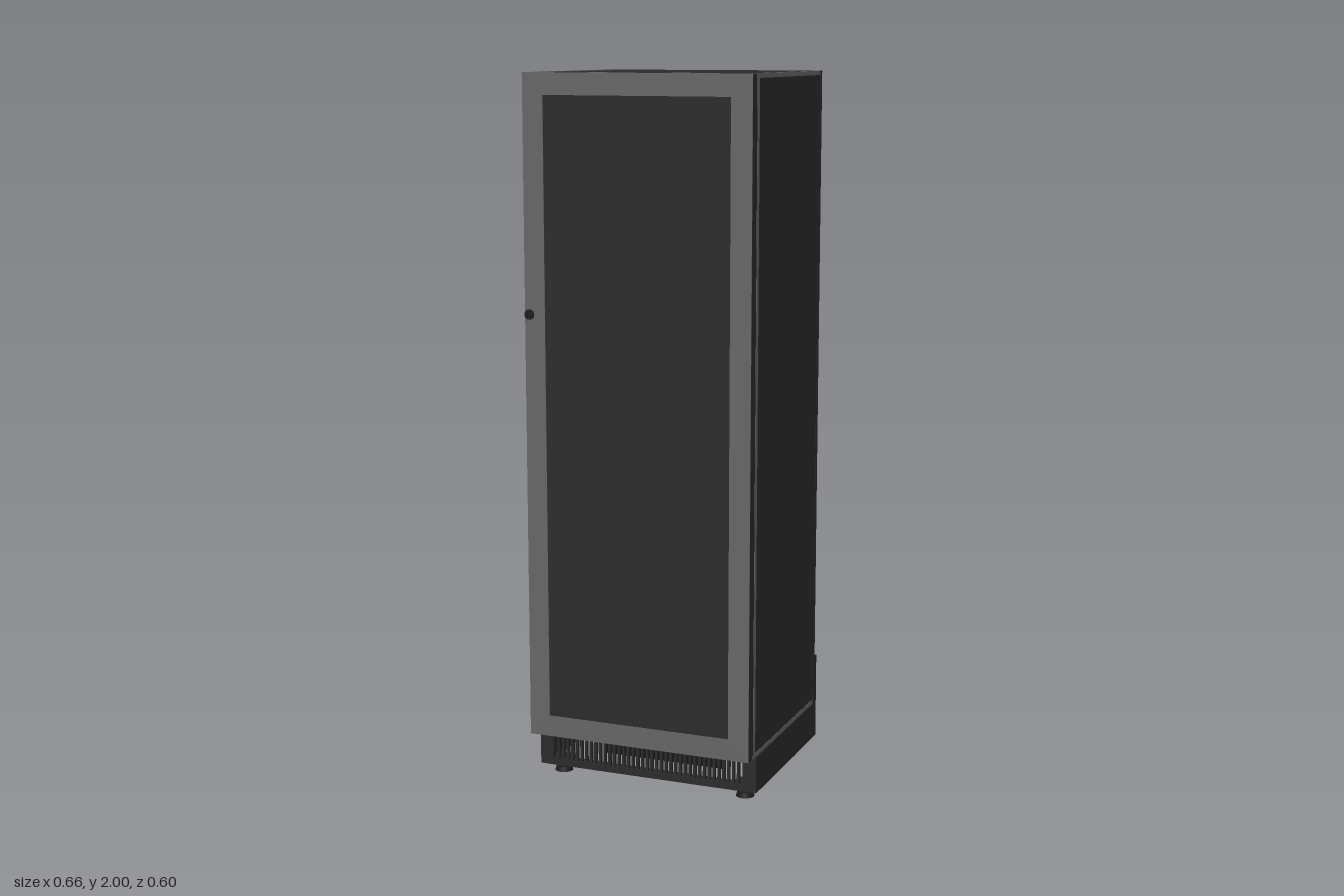
import * as THREE from 'three';

const mat = (color) => new THREE.MeshStandardMaterial({ color, roughness: 0.8, side: THREE.DoubleSide });

export function createModel() {
  const model = new THREE.Group();
  const dark = mat(0x2b2b2b);
  const black = mat(0x1c1c1c);
  const grey = mat(0x666666);

  const add = (name, geometry, material, parent = model) => {
    const mesh = new THREE.Mesh(geometry, material);
    mesh.name = name;
    parent.add(mesh);
    return mesh;
  };
  // Box given by its two extremes on each axis
  const box = (name, [x0, x1], [y0, y1], [z0, z1], material, parent) => {
    const mesh = add(name, new THREE.BoxGeometry(x1 - x0, y1 - y0, z1 - z0), material, parent);
    mesh.position.set((x0 + x1) / 2, (y0 + y1) / 2, (z0 + z1) / 2);
    return mesh;
  };
  const group = (name) => {
    const g = new THREE.Group();
    g.name = name;
    model.add(g);
    return g;
  };

  // Cabinet core: side profile with the machine niche cut out at the lower back
  const profile = new THREE.Shape([
    [0.24, 0.14], [0.24, 1.998], [-0.265, 1.998], [-0.265, 0.28], [-0.06, 0.28], [0.08, 0.14],
  ].map(([z, y]) => new THREE.Vector2(-z, y)));
  const core = add('cabinet', new THREE.ExtrudeGeometry(profile, { depth: 0.63, bevelEnabled: false }), dark);
  core.rotation.y = Math.PI / 2;
  core.position.x = -0.315;

  // Side panels, each with light edging at top, bottom and front
  for (const s of [-1, 1]) {
    const span = (a, b) => (s > 0 ? [a, b] : [-b, -a]);
    const side = group(s > 0 ? 'leftSide' : 'rightSide');
    box('sidePanel', span(0.314, 0.329), [0.15, 1.99], [-0.265, 0.24], dark, side);
    box('topEdging', span(0.315, 0.33), [1.988, 2], [-0.265, 0.24], grey, side);
    box('bottomEdging', span(0.315, 0.33), [0.138, 0.15], [-0.265, 0.24], grey, side);
  }
  const edging = group('frontEdging');
  box('topStrip', [-0.33, 0.33], [1.985, 2], [0.24, 0.257], grey, edging);
  box('bottomStrip', [-0.33, 0.33], [0.138, 0.153], [0.24, 0.257], grey, edging);
  for (const x of [-0.33, 0.315]) box('sideStrip', [x, x + 0.015], [0.153, 1.985], [0.24, 0.257], grey, edging);
  box('innerFace', [-0.315, 0.315], [0.15, 1.985], [0.24, 0.25], dark, edging);

  // Back panel and its corner posts beside the niche
  box('backPanel', [-0.33, 0.33], [0.28, 2], [-0.28, -0.265], dark);
  for (const x of [-0.33, 0.315]) box('nichePost', [x, x + 0.015], [0.13, 0.28], [-0.28, -0.265], dark);
  box('backBracket', [0.31, 0.33], [0.13, 0.28], [-0.297, -0.28], dark);

  // Door: dark body, light front frame, dark pane set slightly back
  const door = group('door');
  const rect = (w, y0, y1) => [[-w, y0], [w, y0], [w, y1], [-w, y1]].map(([x, y]) => new THREE.Vector2(x, y));
  const ring = (depth) => {
    const shape = new THREE.Shape(rect(0.33, 0.14, 2));
    shape.holes.push(new THREE.Path(rect(0.27, 0.2, 1.94).reverse()));
    return new THREE.ExtrudeGeometry(shape, { depth, bevelEnabled: false });
  };
  add('doorBody', ring(0.034), dark, door).position.z = 0.259;
  add('doorFrame', ring(0.002), grey, door).position.z = 0.293;
  box('doorPane', [-0.27, 0.27], [0.2, 1.94], [0.262, 0.293], dark, door);
  const lock = add('doorLock', new THREE.CylinderGeometry(0.014, 0.014, 0.012, 24), black, door);
  lock.rotation.x = Math.PI / 2;
  lock.position.set(-0.316, 1.345, 0.294);

  // Plinth: open at the bottom, low rail at the back
  const base = group('plinth');
  for (const x of [-0.33, 0.31]) box('plinthSide', [x, x + 0.02], [0.03, 0.135], [-0.297, 0.23], dark, base);
  box('backRail', [-0.31, 0.31], [0.03, 0.05], [-0.297, -0.25], dark, base);
  box('frontRail', [-0.31, 0.31], [0.03, 0.048], [0.2, 0.23], dark, base);
  box('frontTopRail', [-0.31, 0.31], [0.12, 0.14], [0.2, 0.23], dark, base);
  for (const x of [-0.31, 0.29]) box('grilleEnd', [x, x + 0.02], [0.048, 0.12], [0.215, 0.23], dark, base);

  // Ventilation grille of upright slats
  const slats = 40;
  for (let i = 1; i < slats; i++) {
    const x = -0.29 + (0.58 * i) / slats;
    box('grilleSlat', [x - 0.0035, x + 0.0035], [0.048, 0.12], [0.217, 0.228], dark, base);
  }

  // Sloping baffle behind the grille and control box in the niche
  const baffle = box('baffle', [-0.17, 0.19], [0.04, 0.15], [0.14, 0.148], black);
  baffle.rotation.x = 0.5;
  box('controlBox', [0.19, 0.265], [0.065, 0.28], [-0.17, -0.08], black);

  // Adjustable feet
  for (const x of [-0.28, 0.28]) for (const z of [-0.18, 0.18]) {
    const foot = group('foot');
    foot.position.set(x, 0, z);
    add('footPad', new THREE.CylinderGeometry(0.022, 0.026, 0.014, 20), black, foot).position.y = 0.007;
    add('footStem', new THREE.CylinderGeometry(0.01, 0.01, 0.03, 16), black, foot).position.y = 0.027;
    box('footBracket', [-0.03, 0.03], [0.03, 0.042], [-0.03, 0.03], dark, foot);
  }
  return model;
}
